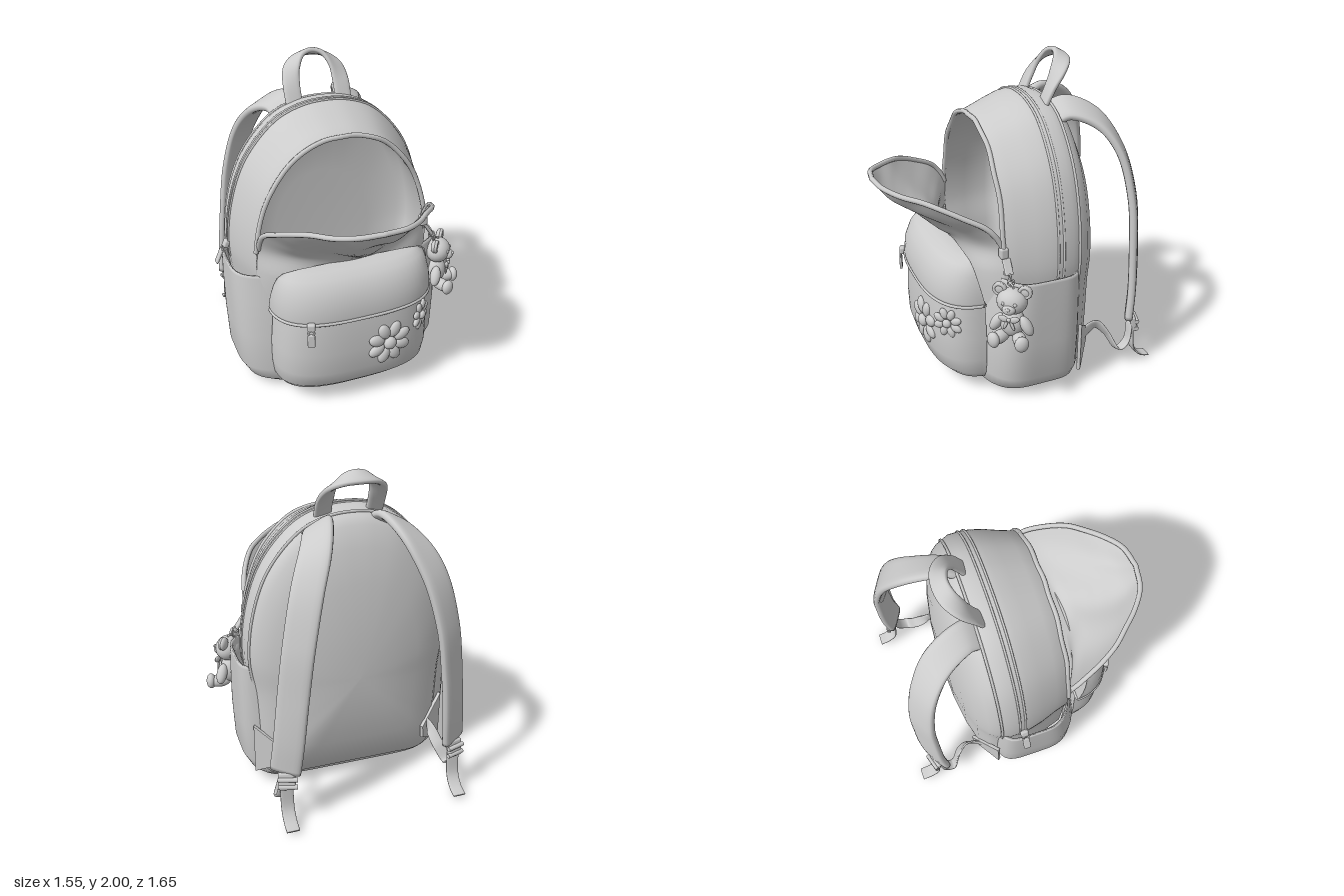
import * as THREE from 'three';
import { RoundedBoxGeometry } from 'three/addons/geometries/RoundedBoxGeometry.js';

const MAT = new THREE.MeshStandardMaterial({ color: 0xcccccc, roughness: 0.8, side: THREE.DoubleSide });
const V = (x, y, z) => new THREE.Vector3(x, y, z);
const spline = (pts, closed = false) => new THREE.CatmullRomCurve3(pts, closed);

function add(parent, name, geo, pos = [0, 0, 0], rot = [0, 0, 0], scale = [1, 1, 1]) {
  const m = new THREE.Mesh(geo, MAT);
  m.name = name;
  m.position.set(...pos);
  m.rotation.set(...rot);
  m.scale.set(...scale);
  parent.add(m);
  return m;
}
function group(parent, name, pos = [0, 0, 0], rot = [0, 0, 0]) {
  const g = new THREE.Group();
  g.name = name;
  g.position.set(...pos);
  g.rotation.set(...rot);
  parent.add(g);
  return g;
}
// Skin over rows of points; closed rows wrap around
function skin(rows, closed) {
  const n = rows[0].length, idx = [];
  for (let r = 0; r < rows.length - 1; r++) {
    for (let i = 0; i < (closed ? n : n - 1); i++) {
      const a = r * n + i, b = r * n + (i + 1) % n;
      idx.push(a, b, b + n, a, b + n, a + n);
    }
  }
  const g = new THREE.BufferGeometry().setFromPoints(rows.flat());
  g.setIndex(idx);
  g.computeVertexNormals();
  return g;
}
// Flat padded strap along a path, with its width direction given at each point
function strap(path, widths, hw, ht, steps = 60) {
  const c = spline(path.map(p => V(...p))), wc = spline(widths.map(p => V(...p)));
  const rows = [];
  for (let k = -1; k <= steps + 1; k++) {
    const u = THREE.MathUtils.clamp(k / steps, 0, 1), f = k < 0 || k > steps ? 0.01 : 1;
    const p = c.getPoint(u), t = c.getTangent(u), w = wc.getPoint(u);
    w.addScaledVector(t, -w.dot(t)).normalize();
    const n = t.clone().cross(w), row = [];
    for (let i = 0; i < 20; i++) {
      const a = i / 20 * Math.PI * 2, cs = Math.cos(a), sn = Math.sin(a);
      row.push(p.clone()
        .addScaledVector(w, f * hw * Math.sign(cs) * Math.abs(cs) ** 0.6)
        .addScaledVector(n, f * ht * Math.sign(sn) * Math.abs(sn) ** 0.6));
    }
    rows.push(row);
  }
  return skin(rows, true);
}
const tube = (pts, r, closed = false) => new THREE.TubeGeometry(spline(pts, closed), pts.length * 2, r, 8, closed);
// Horizontal rounded-rectangle ring with separate squareness for front and back
function oval(y, w, z, d, nFront, nBack = nFront) {
  return Array.from({ length: 80 }, (_, i) => {
    const a = i / 80 * Math.PI * 2, c = Math.cos(a), s = Math.sin(a), n = s > 0 ? nFront : nBack;
    const q = (Math.abs(c) ** n + Math.abs(s) ** n) ** (-1 / n);
    return V(w * c * q, y, z + d * s * q);
  });
}

// Arched body outline, as seen from the front
const half = [[0.3, 0], [0.5, 0.01], [0.575, 0.07], [0.6, 0.3], [0.615, 0.65], [0.642, 0.88], [0.615, 1.14], [0.535, 1.39], [0.425, 1.555], [0.285, 1.68], [0.13, 1.738]];
const outline = spline([V(0, 0, 0), ...half.map(([x, y]) => V(x, y, 0)), V(0, 1.75, 0),
  ...half.slice().reverse().map(([x, y]) => V(-x, y, 0))], true).getPoints(144).slice(0, -1);
const ring = ([sx, sy, z]) => outline.map(p => V(p.x * sx, 0.75 + (p.y - 0.75) * sy, z));

function buildBody(g) {
  // Hollow main compartment: inside wall, rim, outside gusset
  add(g, 'mainCompartment', skin([[0.001, 0.001, -0.19], [0.5, 0.5, -0.19], [0.82, 0.86, -0.17], [0.88, 0.91, -0.1], [0.87, 0.9, 0.05],
    [0.845, 0.875, 0.19], [0.865, 0.89, 0.2], [0.9, 0.92, 0.12], [0.955, 0.96, 0.02], [0.985, 0.99, -0.06],
    [1, 1, -0.12], [1, 1, -0.2], [0.97, 0.98, -0.25]].map(ring), true));
  add(g, 'backPanel', skin([[0.97, 0.98, -0.24], [0.955, 0.96, -0.28], [0.91, 0.92, -0.32], [0.8, 0.8, -0.375], [0.6, 0.6, -0.42],
    [0.35, 0.35, -0.45], [0.15, 0.15, -0.46], [0.001, 0.001, -0.462]].map(ring), true));
  add(g, 'backPiping', tube(ring([0.972, 0.98, -0.25]), 0.009, true));
  // Closed zipper over the gusset
  for (const z of [-0.105, -0.14]) {
    add(g, 'gussetZipper', tube(ring([1, 1, z]).filter(p => p.y > 0.78), 0.007));
  }
  // Lower shell forming the base and the two side pockets: height, half width, centre z, half depth
  const lower = [[0.004, 0.001, 0, 0.001], [0.004, 0.5, 0, 0.25], [0.015, 0.56, 0.005, 0.285], [0.06, 0.62, 0.015, 0.308], [0.15, 0.668, 0.018, 0.318],
    [0.4, 0.68, 0.015, 0.315], [0.65, 0.682, 0, 0.293], [0.8, 0.68, -0.01, 0.275], [0.82, 0.678, -0.01, 0.272], [0.815, 0.663, -0.01, 0.26], [0.6, 0.645, 0, 0.25]];
  add(g, 'sidePockets', skin(lower.map(([y, w, z, d]) => oval(y, w, z, d, 3.2, 6)), true));
}

function buildFrontFlap(g) {
  // Front wall continuing into the panel that folds forward: half width, edge z, y, centre z, y
  const rows = [[0.56, 0.18, 0.05, 0.325, 0.05], [0.56, 0.19, 0.5, 0.325, 0.5], [0.55, 0.2, 0.85, 0.345, 0.78],
    [0.535, 0.2, 1.0, 0.385, 0.92], [0.525, 0.28, 1.13, 0.44, 0.98], [0.475, 0.42, 1.21, 0.52, 1.045], [0.415, 0.53, 1.26, 0.59, 1.1],
    [0.345, 0.61, 1.285, 0.66, 1.155], [0.25, 0.71, 1.3, 0.735, 1.215], [0.14, 0.785, 1.32, 0.79, 1.29], [0, 0.812, 1.33, 0.812, 1.33]];
  const column = s => spline(rows.map(([w, ze, ye, zc, yc], k) => {
    const q = s * s, fold = k > 3 ? 0.04 * w * Math.sin(7 * s + k) * (1 - q) : 0;
    return V(w * s, yc + (ye - yc) * q + fold, zc + (ze - zc) * (k < 3 ? q * q : q));
  })).getPoints(60);
  const cols = Array.from({ length: 41 }, (_, i) => column(i / 20 - 1));
  add(g, 'foldedFrontPanel', skin(cols, false));
  const left = cols[40].slice(18), right = cols[0].slice(18, -1);
  add(g, 'flapZipperEdge', tube([...left, ...right.reverse()], 0.016));
  const rim = ring([0.865, 0.89, 0.2]).filter(p => p.y > 0.97);
  rim.forEach((p, i) => { p.z += 0.003 * Math.sin(i * 0.6); });
  add(g, 'openingZipperEdge', tube(rim, 0.015));
}

// Zipper slider with a hanging tab
function pull(g, name, pos, rot, len) {
  const p = group(g, name, pos, rot);
  add(p, 'slider', new RoundedBoxGeometry(0.05, 0.05, 0.035, 3, 0.012));
  add(p, 'loop', new THREE.TorusGeometry(0.018, 0.006, 8, 16), [0, -0.035, 0.012]);
  add(p, 'tab', new RoundedBoxGeometry(0.045, len, 0.018, 3, 0.008), [0, -0.045 - len / 2, 0.012]);
}

function flower(g, pos, rot, r) {
  const f = group(g, 'flower', pos, rot);
  const ball = new THREE.SphereGeometry(1, 20, 14);
  for (let i = 0; i < 8; i++) {
    const a = (i + 0.5) / 8 * Math.PI * 2;
    add(f, 'petal', ball, [Math.cos(a) * r * 0.63, Math.sin(a) * r * 0.63, 0], [0, 0, a], [r * 0.37, r * 0.25, r * 0.17]);
  }
  add(f, 'flowerCentre', ball, [0, 0, 0.012], [0, 0, 0], [r * 0.28, r * 0.28, r * 0.2]);
}

// Front bulge of a pocket, its flat back leaning forward towards the top
function pocketRing([y, w, d]) {
  const back = 0.295 + Math.max(0, y - 0.6) * 0.23;
  const r = oval(y, w, 0.25, d, 2.9);
  r.forEach(p => { p.z = Math.max(p.z, back); });
  return r;
}
function buildFrontPocket(g) {
  add(g, 'frontPocket', skin([[0.085, 0.001, 0.001], [0.085, 0.4, 0.18], [0.1, 0.465, 0.25], [0.15, 0.495, 0.3],
    [0.25, 0.507, 0.328], [0.4, 0.507, 0.333], [0.6, 0.49, 0.325], [0.7, 0.48, 0.3]].map(pocketRing), true));
  add(g, 'pocketCover', skin([[0.64, 0.48, 0.31], [0.635, 0.512, 0.338], [0.66, 0.518, 0.342], [0.75, 0.512, 0.333], [0.83, 0.496, 0.3],
    [0.885, 0.475, 0.255], [0.912, 0.44, 0.2], [0.92, 0.36, 0.15], [0.92, 0.001, 0.001]].map(pocketRing), true));
  add(g, 'pocketPiping', tube(pocketRing([0.637, 0.513, 0.338]), 0.011, true));
  pull(g, 'pocketZipperPull', [-0.34, 0.64, 0.57], [0, -0.35, 0], 0.09);
  flower(g, [0.16, 0.4, 0.576], [0, 0.12, 0], 0.15);
  flower(g, [0.4, 0.5, 0.505], [0, 0.72, 0], 0.1);
}

function buildStraps(g) {
  add(g, 'topHandle', strap(
    [[-0.155, 1.69, -0.2], [-0.157, 1.8, -0.25], [-0.14, 1.89, -0.305], [-0.08, 1.95, -0.355], [0, 1.967, -0.372],
      [0.08, 1.95, -0.355], [0.14, 1.89, -0.305], [0.157, 1.8, -0.25], [0.155, 1.69, -0.2]],
    [[-1, 0, 0], [-1, 0, -0.1], [-0.85, -0.1, -0.5], [-0.4, -0.35, -0.8], [0, -0.5, -0.87],
      [0.4, -0.35, -0.8], [0.85, -0.1, -0.5], [1, 0, -0.1], [1, 0, 0]], 0.052, 0.017));
  for (const s of [1, -1]) {
    const side = group(g, s > 0 ? 'leftShoulderStrap' : 'rightShoulderStrap');
    side.scale.x = s;
    add(side, 'paddedStrap', strap(
      [[0.2, 1.64, -0.22], [0.22, 1.69, -0.33], [0.285, 1.62, -0.5], [0.37, 1.44, -0.62], [0.44, 1.15, -0.685], [0.48, 0.85, -0.695], [0.51, 0.55, -0.69], [0.53, 0.35, -0.67]],
      [[1, -0.5, 0], [1, -0.55, 0.05], [1, -0.45, 0.2], [0.9, -0.1, 0.4], [0.85, 0, 0.5], [0.8, 0, 0.5], [0.8, 0, 0.5], [0.8, 0, 0.5]], 0.094, 0.027));
    add(side, 'buckle', new RoundedBoxGeometry(0.1, 0.11, 0.035, 3, 0.012), [0.53, 0.3, -0.7], [0.2, -0.3, 0]);
    for (const y of [0.27, 0.32]) add(side, 'buckleBar', new THREE.CylinderGeometry(0.014, 0.014, 0.115, 10), [0.53, y, -0.72], [0, -0.3, Math.PI / 2]);
    add(side, 'strapTail', strap([[0.53, 0.35, -0.69], [0.53, 0.22, -0.69], [0.53, 0.1, -0.71], [0.53, 0.045, -0.76], [0.53, 0.025, -0.82]],
      [[1, 0, 0], [1, 0, 0], [1, 0, 0], [1, 0, 0], [1, 0, 0]], 0.04, 0.007, 30));
    add(side, 'webbing', strap([[0.53, 0.3, -0.68], [0.55, 0.17, -0.65], [0.55, 0.13, -0.59], [0.5, 0.23, -0.53], [0.48, 0.3, -0.46], [0.49, 0.29, -0.4], [0.52, 0.26, -0.34]],
      [[1, 0, 0], [1, 0, 0.1], [0.9, 0.3, 0], [0.7, 0.6, 0], [0.3, 0.9, 0], [0, 1, 0], [0, 1, 0]], 0.036, 0.008));
    // Triangular anchor sewn flat over the lower back corner
    const tri = new THREE.Shape([[0, 0.1], [0.2, 0.2], [0.21, 0.28], [0, 0.42]].map(p => new THREE.Vector2(...p)));
    const geo = new THREE.ExtrudeGeometry(tri, { depth: 0.012, bevelSize: 0.006, bevelThickness: 0.006, bevelSegments: 2 });
    add(side, 'strapAnchor', geo, [0.612, 0, -0.272], [0, 2.5, 0]);
  }
}

// Small bear charm, built facing +z and turned to the corner
function buildBear(g) {
  const b = group(g, 'bearCharm', [0.655, 0.46, 0.19], [0, 0.9, 0]);
  const ball = new THREE.SphereGeometry(1, 24, 18);
  const blob = (name, p, s, r) => add(b, name, ball, p, r, s);
  blob('head', [0, 0.275, 0.01], [0.092, 0.08, 0.08]);
  blob('snout', [0, 0.255, 0.08], [0.04, 0.032, 0.03]);
  blob('nose', [0, 0.268, 0.108], [0.014, 0.01, 0.009]);
  blob('torso', [0, 0.125, 0], [0.074, 0.09, 0.068]);
  for (const s of [1, -1]) {
    blob('ear', [s * 0.076, 0.34, 0], [0.042, 0.042, 0.022]);
    add(b, 'earRim', new THREE.TorusGeometry(0.032, 0.011, 8, 20), [s * 0.076, 0.34, 0.012]);
    blob('eye', [s * 0.036, 0.29, 0.08], [0.011, 0.011, 0.009]);
    blob('arm', [s * 0.09, 0.125, 0.02], [0.033, 0.066, 0.034], [0, 0, s * 0.5]);
    blob('leg', [s * 0.06, 0.05, 0.06], [0.04, 0.04, 0.075], [0, s * 0.5, 0]);
    blob('foot', [s * 0.085, 0.052, 0.105], [0.042, 0.05, 0.03], [0, s * 0.5, 0]);
    blob('bowLoop', [s * 0.032, 0.19, 0.078], [0.032, 0.02, 0.012], [0, 0, s * 0.35]);
    blob('bowTail', [s * 0.02, 0.15, 0.078], [0.01, 0.034, 0.007], [0, 0, s * 0.4]);
  }
  blob('bowKnot', [0, 0.188, 0.082], [0.013, 0.013, 0.013]);
  // Zipper pull and links holding the charm
  add(g, 'charmSlider', new RoundedBoxGeometry(0.05, 0.07, 0.05, 3, 0.014), [0.54, 0.985, 0.2]);
  add(g, 'charmTab', new RoundedBoxGeometry(0.02, 0.1, 0.05, 3, 0.008), [0.58, 0.91, 0.19], [0, 0, 0.6]);
  for (let i = 0; i < 3; i++) {
    add(g, 'charmLink', new THREE.TorusGeometry(0.018, 0.006, 8, 18), [0.612 + i * 0.017, 0.86 - i * 0.025, 0.19], [0, i % 2 ? 1.4 : 0, 0]);
  }
}

export function createModel() {
  const root = new THREE.Group();
  root.name = 'backpack';
  const g = group(root, 'backpackParts', [-0.05, 0, 0]);
  buildBody(g);
  buildFrontFlap(g);
  buildFrontPocket(g);
  buildStraps(g);
  buildBear(g);
  const tilted = group(g, 'sideZipper', [-0.655, 0.89, -0.12], [0, 0, -0.42]);
  pull(tilted, 'sideZipperPull', [0, 0, 0], [0, -Math.PI / 2, 0], 0.1);
  return root;
}
